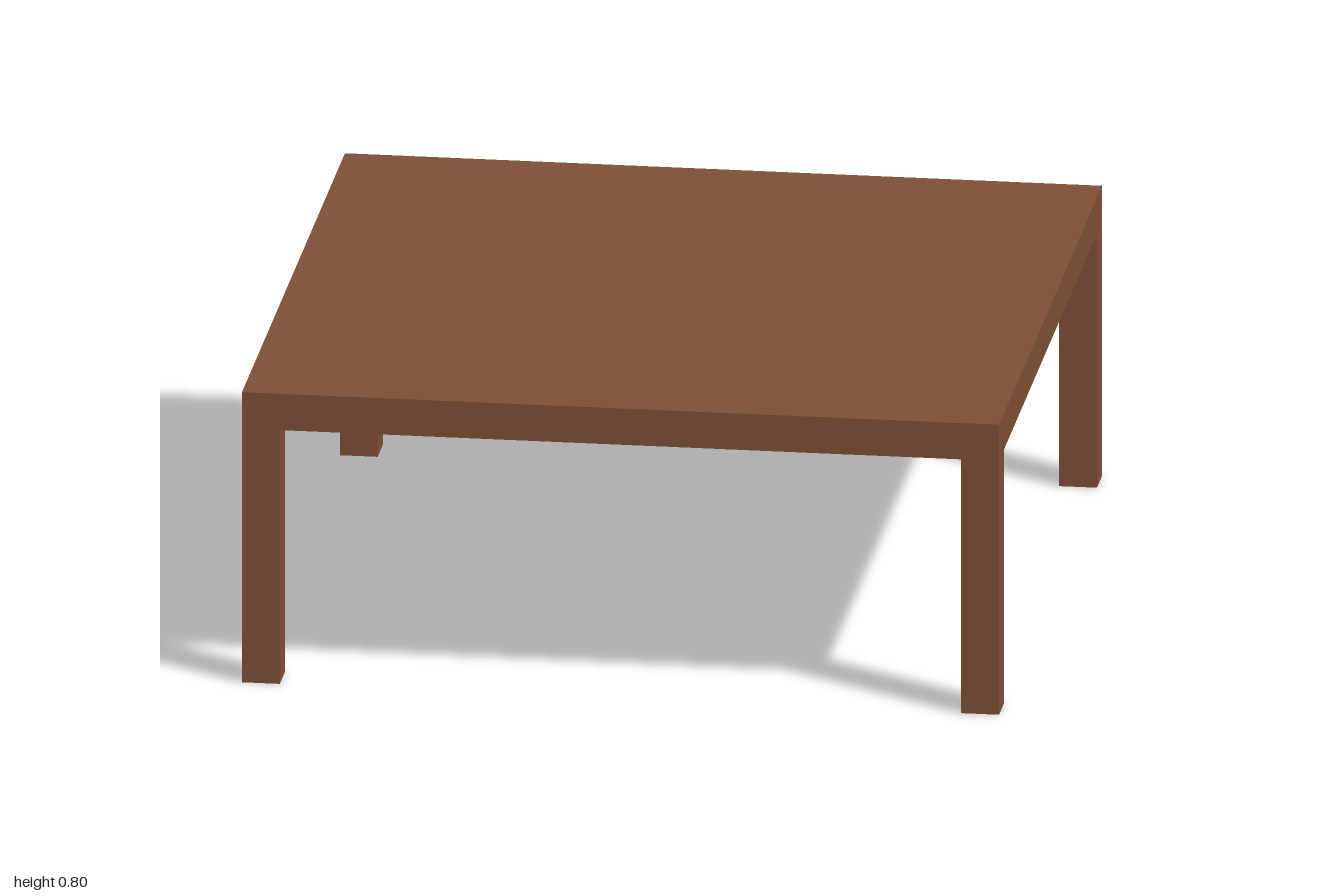
import * as THREE from 'three';

export function createModel() {
  const table = new THREE.Group();
  table.name = 'table';

  const wood = new THREE.MeshStandardMaterial({ color: 0x7f4f36 });
  wood.name = 'brown wood';

  const width = 2, height = 0.8, thickness = 0.1, legSize = 0.1;
  const legHeight = height - thickness;

  // Square slab top
  const top = new THREE.Mesh(new THREE.BoxGeometry(width, thickness, width), wood);
  top.name = 'tableTop';
  top.position.y = height - thickness / 2;
  table.add(top);

  // Four square legs, flush with the corners
  const legGeometry = new THREE.BoxGeometry(legSize, legHeight, legSize);
  const offset = (width - legSize) / 2;
  for (const [zSide, zName] of [[1, 'front'], [-1, 'back']]) {
    for (const [xSide, xName] of [[1, 'Left'], [-1, 'Right']]) {
      const leg = new THREE.Mesh(legGeometry, wood);
      leg.name = `${zName}${xName}Leg`;
      leg.position.set(xSide * offset, legHeight / 2, zSide * offset);
      table.add(leg);
    }
  }

  return table;
}
